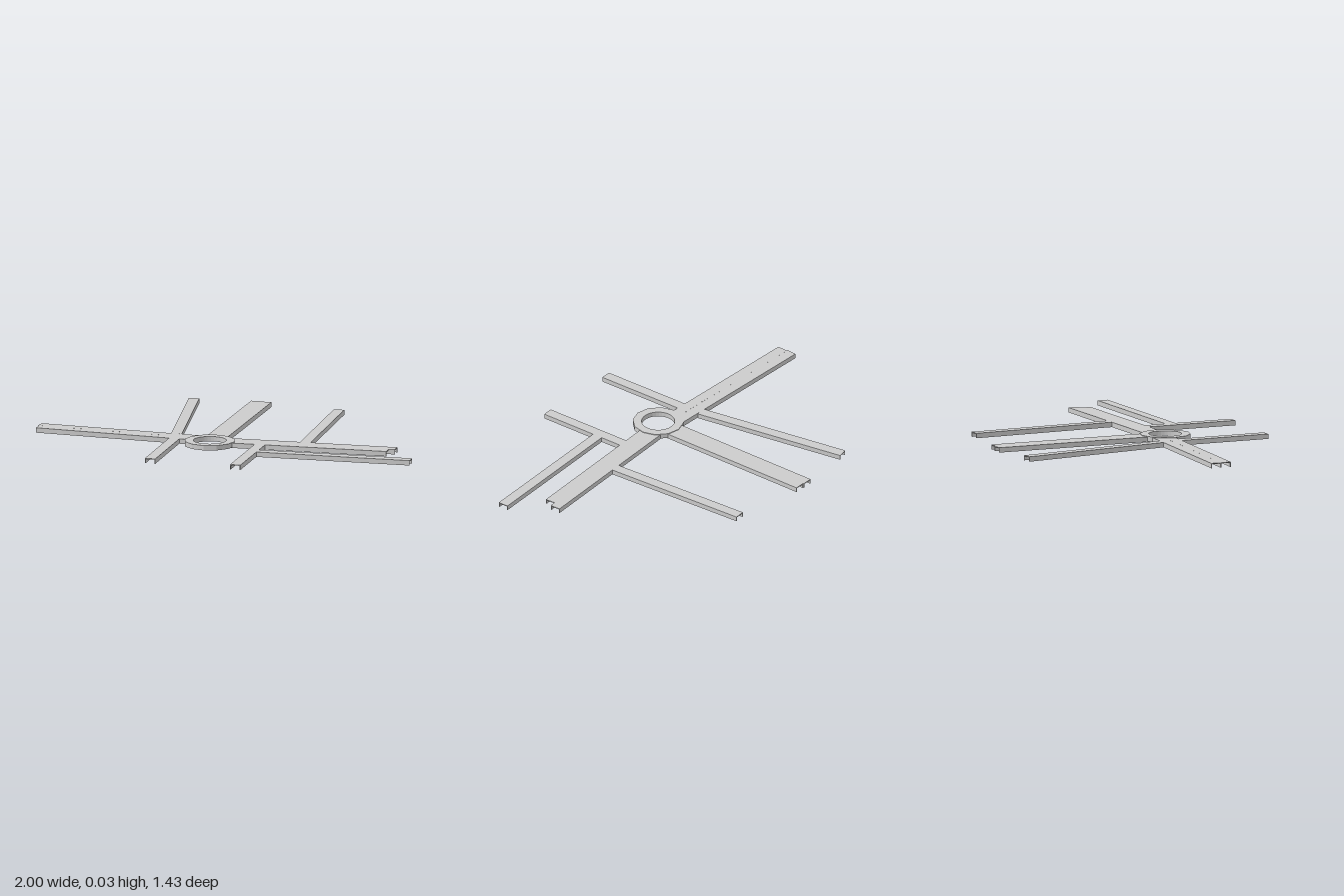
import * as THREE from 'three';

const TOP = 0.025, SKIN = 0.004, LANE = 0.054;
const material = new THREE.MeshStandardMaterial({ color: 0xcccccc, flatShading: true });

// Points of a regular polygon
const ngon = (r, n) => Array.from({ length: n }, (_, i) => {
  const a = (i / n) * Math.PI * 2;
  return new THREE.Vector2(r * Math.cos(a), r * Math.sin(a));
});

export function createModel() {
  const model = new THREE.Group();
  const add = (name, geometry, parent = model) => {
    const mesh = new THREE.Mesh(geometry, material);
    mesh.name = name;
    parent.add(mesh);
    return mesh;
  };

  // One lane: a deck with two side skirts, open below and at both ends
  function lane(name, [x0, z0], [x1, z1], width = LANE) {
    const w = width / 2, i = w - SKIN, d = TOP - SKIN;
    const section = new THREE.Shape([
      [-w, 0], [-i, 0], [-i, d], [i, d], [i, 0], [w, 0], [w, TOP], [-w, TOP],
    ].map(([x, y]) => new THREE.Vector2(x, y)));
    const depth = Math.hypot(x1 - x0, z1 - z0);
    const mesh = add(name, new THREE.ExtrudeGeometry(section, { depth, bevelEnabled: false }));
    mesh.position.set(x0, 0, z0);
    mesh.rotation.y = Math.atan2(x1 - x0, z1 - z0);
  }

  // Wide roads are pairs of lanes side by side
  lane('leftRoadBackLane', [-0.998, 0.064], [-0.15, 0.136]);
  lane('leftRoadFrontLane', [-0.996, 0.118], [-0.18, 0.188]);
  lane('backRoadOuterLane', [-0.08, -0.718], [-0.097, 0.12]);
  lane('backRoadInnerLane', [-0.027, -0.712], [-0.043, 0.12]);
  lane('rightRoadBackLane', [0.866, 0.151], [0.01, 0.157]);
  lane('rightRoadFrontLane', [0.835, 0.204], [0.015, 0.211]);

  // Narrow side roads
  lane('backLeftSideRoad', [-0.398, -0.703], [-0.283, 0.1]);
  lane('backRightSideRoad', [0.37, -0.632], [0.391, 0.129]);
  lane('frontLeftSideRoad', [-0.27, 0.682], [-0.267, 0.2]);
  lane('frontRightSideRoad', [0.178, 0.711], [0.183, 0.235]);
  lane('parallelRoad', [1, 0.376], [0.205, 0.377]);

  // Roundabout: deck with an inner and an outer skirt
  const roundabout = new THREE.Group();
  roundabout.name = 'roundabout';
  roundabout.position.set(-0.081, 0, 0.213);
  model.add(roundabout);
  function ring(name, outer, inner, y0, y1) {
    const shape = new THREE.Shape(ngon(...outer));
    shape.holes.push(new THREE.Path(ngon(...inner)));
    const g = new THREE.ExtrudeGeometry(shape, { depth: y1 - y0, bevelEnabled: false });
    g.rotateX(-Math.PI / 2).translate(0, y0, 0);
    add(name, g, roundabout);
  }
  ring('roundaboutDeck', [0.128, 12], [0.083, 32], 0.023, 0.028);
  ring('outerSkirt', [0.128, 12], [0.124, 12], 0.003, 0.023);
  ring('innerSkirt', [0.087, 32], [0.083, 32], 0.003, 0.023);

  // Dashed centre line of the left road
  const from = new THREE.Vector3(-0.975, TOP, 0.093), to = new THREE.Vector3(-0.2, TOP, 0.159);
  const angle = -Math.atan2(to.z - from.z, to.x - from.x);
  for (let i = 0; i < 20; i++) {
    const dash = add('centreDash', new THREE.BoxGeometry(0.01, 0.001, 0.004));
    dash.position.lerpVectors(from, to, i / 19);
    dash.rotation.y = angle;
  }
  return model;
}
